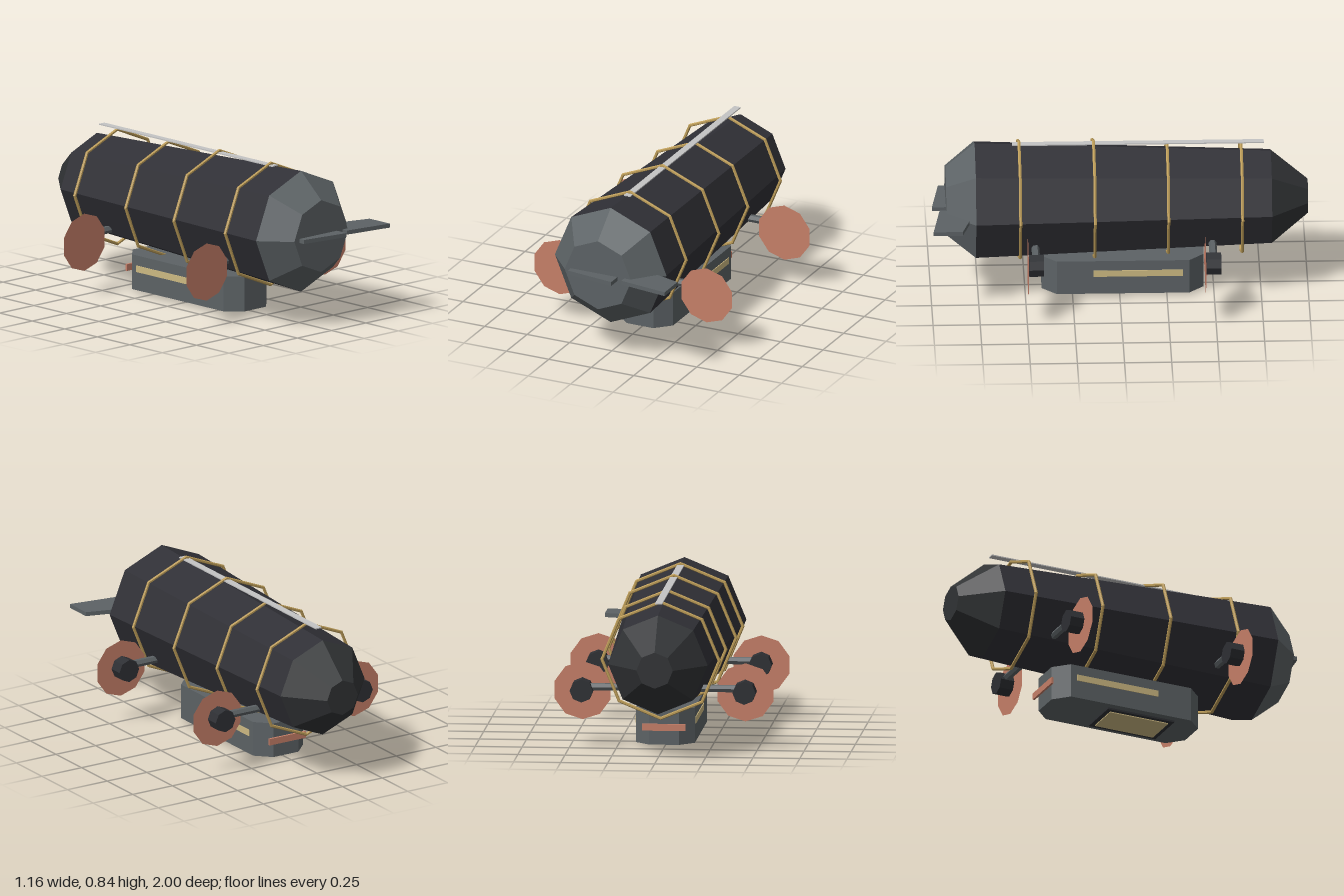
import * as THREE from 'three';

const mat = (name, color, extra = {}) => {
  const m = new THREE.MeshStandardMaterial({ color, flatShading: true, ...extra });
  m.name = name;
  return m;
};

export function createModel() {
  const hullDark = mat('hull charcoal', 0x303036);
  const tailDark = mat('tail charcoal', 0x313335);
  const steel = mat('steel grey', 0x5c6265);
  const brass = mat('brass', 0xbc9c58);
  const glass = mat('window yellow', 0xcdb982);
  const copper = mat('copper', 0xc67f68);
  const propCopper = mat('propeller copper', 0xc67f68, { side: THREE.DoubleSide });
  propCopper.color = copper.color;
  const silver = mat('silver', 0xc4c4c4);
  const engineDark = mat('engine charcoal', 0x2e3034);

  const model = new THREE.Group();
  model.name = 'airship';
  const add = (name, geometry, material, x = 0, y = 0, z = 0, parent = model) => {
    const mesh = new THREE.Mesh(geometry, material);
    mesh.name = name;
    mesh.position.set(x, y, z);
    parent.add(mesh);
    return mesh;
  };
  const box = (name, material, w, h, d, x, y, z) =>
    add(name, new THREE.BoxGeometry(w, h, d), material, x, y, z);

  // Extrudes an outline in x and z downwards from the given top height
  const slab = (name, points, top, depth, material) => {
    const shape = new THREE.Shape(points.map(([x, z]) => new THREE.Vector2(x, z)));
    const geometry = new THREE.ExtrudeGeometry(shape, { depth, bevelEnabled: false });
    geometry.rotateX(Math.PI / 2);
    return add(name, geometry, material, 0, top, 0);
  };

  // Eight-sided envelope in three tapered sections along z
  const axisY = 0.5;
  const section = (name, z0, r0, z1, r1, material) => {
    const geometry = new THREE.CylinderGeometry(r1, r0, z1 - z0, 8);
    geometry.rotateX(Math.PI / 2);
    add(name, geometry, material, 0, axisY, (z0 + z1) / 2);
  };
  section('tailCone', -1, 0.097, -0.805, 0.265, tailDark);
  section('envelope', -0.805, 0.265, 0.765, 0.329, hullDark);
  section('noseCone', 0.765, 0.329, 0.92, 0.196, steel);

  // Brass hoops around the envelope
  [[0.53, 0.331], [0.135, 0.331], [-0.255, 0.312], [-0.647, 0.312]].forEach(([z, r], i) =>
    add(`hoop${i + 1}`, new THREE.TorusGeometry(r, 0.009, 6, 8), brass, 0, axisY, z));

  // Spine strip along the top
  box('spine', silver, 0.038, 0.006, 1.335, 0, 0.821, -0.1);

  // Two flat fins at the nose
  [['innerFin', -0.16], ['outerFin', 0.155]].forEach(([name, x]) =>
    slab(name, [[x, 0.76], [x + 0.275, 0.84], [x + 0.275, 0.995], [x, 0.955]], 0.511, 0.022, steel));

  // Gondola with chamfered corners
  const w = 0.157, c = 0.078, front = 0.412, back = -0.447;
  slab('gondola', [
    [-w + c, back], [w - c, back], [w, back + c], [w, front - c],
    [w - c, front], [-w + c, front], [-w, front - c], [-w, back + c],
  ], 0.204, 0.189, steel);
  box('floorFrame', engineDark, 0.236, 0.015, 0.39, 0, 0.0125, 0.06);
  box('floorWindow', glass, 0.19, 0.008, 0.34, 0, 0.004, 0.06);
  box('rearBar', copper, 0.23, 0.036, 0.012, 0, 0.11, -0.459);

  // Side windows and engines, mirrored left and right
  for (const [side, s] of [['left', 1], ['right', -1]]) {
    box(`${side}Window`, glass, 0.008, 0.035, 0.475, s * 0.157, 0.132, -0.097);

    for (const [place, z] of [['Front', 0.45], ['Rear', -0.49]]) {
      const engine = new THREE.Group();
      engine.name = `${side}${place}Engine`;
      engine.position.set(s * 0.433, 0.302, z);
      model.add(engine);

      const pod = new THREE.CylinderGeometry(0.062, 0.062, 0.078, 8);
      pod.rotateX(Math.PI / 2);
      add('enginePod', pod, engineDark, 0, 0.008, 0, engine);

      const strut = new THREE.CylinderGeometry(0.021, 0.021, 0.2, 6);
      strut.rotateZ(Math.PI / 2);
      add('strut', strut, steel, -s * 0.138, 0.026, 0, engine);

      const disc = new THREE.CircleGeometry(0.156, 10);
      disc.rotateZ(Math.PI / 2);
      add('propellerDisc', disc, propCopper, 0, 0, 0.044, engine);
    }
  }

  return model;
}
